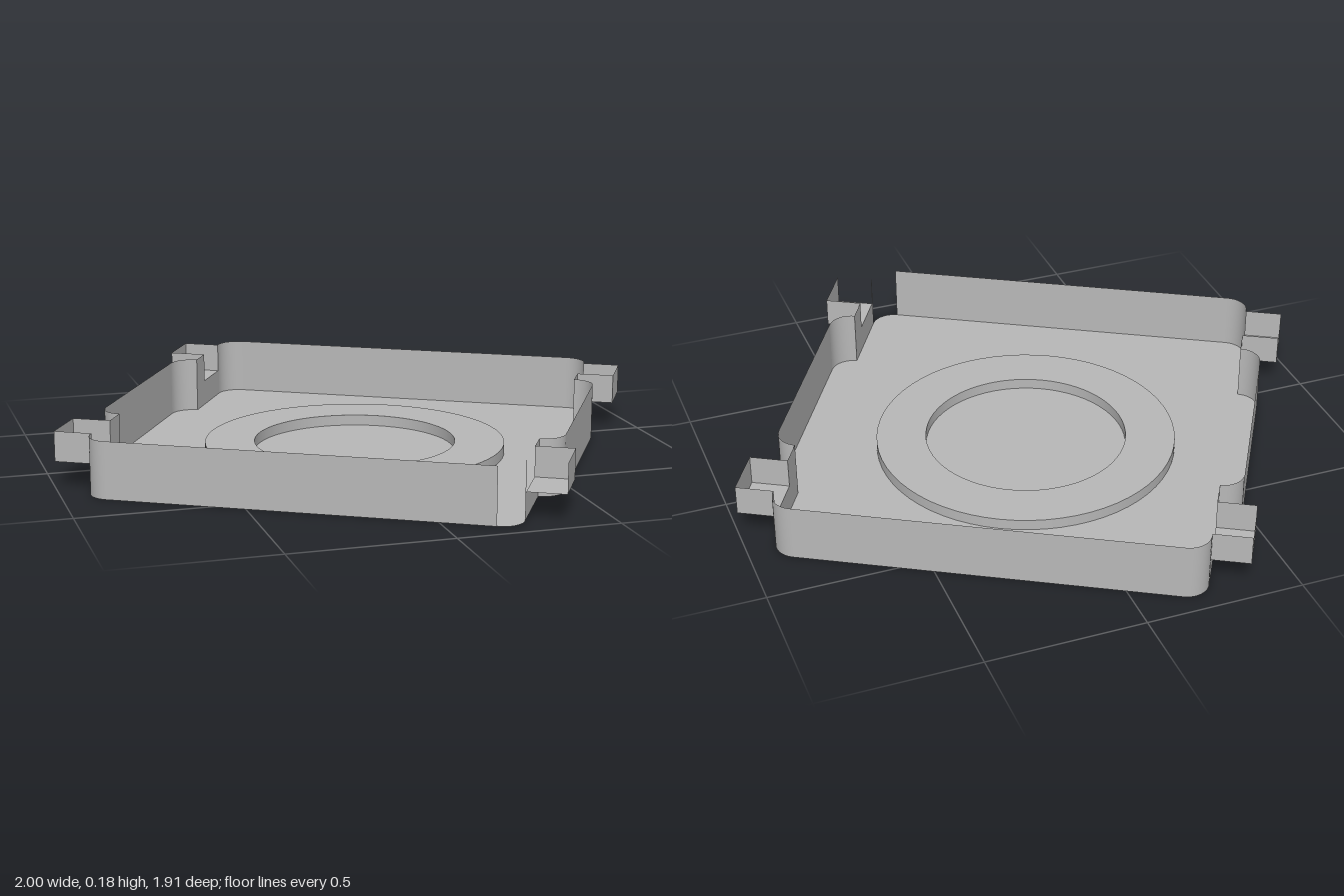
import * as THREE from 'three';

const H = 0.18;            // wall height
const OUT = 0.73;          // half size of the square tray
const IN = 0.66;           // wall line inside the notches
const R = 0.07;            // corner radius
const STEP = 0.4;          // where a notch begins
const TAB = { near: 0.487, far: 0.65, out: 0.78, y: 0.085 };
const RING = { inner: 0.325, outer: 0.485, y: 0.035 };

const grey = new THREE.MeshStandardMaterial({ color: 0xb8b8b8, side: THREE.DoubleSide });
grey.name = 'light grey';

// points of a quarter arc in the x-z plane
function arc(cx, cz, a0, a1, n = 10) {
  return Array.from({ length: n + 1 }, (_, i) => {
    const a = a0 + (a1 - a0) * i / n;
    return [cx + R * Math.cos(a), cz + R * Math.sin(a)];
  });
}

// upright sheet following a path in the x-z plane
function sheet(path, y0, y1) {
  const pos = [], idx = [];
  path.forEach(([x, z], i) => {
    pos.push(x, y0, z, x, y1, z);
    const k = 2 * i;
    if (i) idx.push(k - 2, k - 1, k, k, k - 1, k + 1);
  });
  const g = new THREE.BufferGeometry();
  g.setAttribute('position', new THREE.Float32BufferAttribute(pos, 3));
  g.setIndex(idx);
  g.computeVertexNormals();
  return g;
}

export function createModel() {
  const model = new THREE.Group();
  model.name = 'tray';
  const body = new THREE.Group();
  body.name = 'trayBody';
  body.rotation.y = -Math.PI / 6;
  model.add(body);

  const add = (name, geometry, parent = body) => {
    const mesh = new THREE.Mesh(geometry, grey);
    mesh.name = name;
    parent.add(mesh);
    return mesh;
  };
  const flat = (name, geometry, y) => {
    add(name, geometry.rotateX(-Math.PI / 2)).position.y = y;
  };

  // outline of one quarter, from the side's middle round to the end wall
  const shoulder = arc(OUT - R, STEP - R, 0, Math.PI / 2);
  const corner = arc(IN - R, OUT - R, 0, Math.PI / 2);
  const quarter = [...shoulder, ...corner];
  const mirror = (pts, sx, sz) => pts.map(([x, z]) => [x * sx, z * sz]);

  // floor with a round opening
  const outline = [
    ...quarter,
    ...mirror(quarter, -1, 1).reverse(),
    ...mirror(quarter, -1, -1),
    ...mirror(quarter, 1, -1).reverse(),
  ].map(([x, z]) => new THREE.Vector2(x, z));
  const floor = new THREE.Shape(outline);
  floor.holes.push(new THREE.Path().absarc(0, 0, RING.outer, 0, Math.PI * 2, true));
  flat('floor', new THREE.ShapeGeometry(floor, 32), 0);

  // raised ring and the sunken disc inside it
  flat('raisedRing', new THREE.RingGeometry(RING.inner, RING.outer, 64), RING.y);
  flat('centreDisc', new THREE.CircleGeometry(RING.inner, 64), 0);
  for (const r of [RING.inner, RING.outer]) {
    add('ringWall', new THREE.CylinderGeometry(r, r, RING.y, 64, 1, true)).position.y = RING.y / 2;
  }

  // straight walls
  for (const s of [-1, 1]) {
    add('sideWall', sheet([[s * OUT, -STEP + R], [s * OUT, STEP - R]], 0, H));
    add('endWall', sheet([[-IN + R, s * OUT], [IN - R, s * OUT]], 0, H));
  }

  // shoulders, notches and hollow tabs at the four corners
  for (const sx of [-1, 1]) for (const sz of [-1, 1]) {
    const open = sx > 0 && sz > 0; // this corner has an opening
    const wall = (name, pts, y0 = 0, y1 = H) => add(name, sheet(mirror(pts, sx, sz), y0, y1));
    const { near, far, out, y } = TAB;

    wall('shoulder', shoulder);
    wall('notchWall', [[IN, STEP], [IN, near]]);
    wall('notchSill', [[IN, near], [IN, far]], 0, y);
    wall('notchEnd', [[IN, far], [IN, OUT - R]]);
    if (!open) wall('roundedCorner', corner);

    wall('tabNearSide', [[IN, near], [out, near]], y);
    wall('tabFace', [[out, near], [out, far]], y);
    if (!open) wall('tabFarSide', [[IN, far], [out, far]], y);
    const base = new THREE.PlaneGeometry(out - IN, far - near).rotateX(-Math.PI / 2);
    add('tabFloor', base).position.set(sx * (IN + out) / 2, y, sz * (near + far) / 2);
  }
  return model;
}
